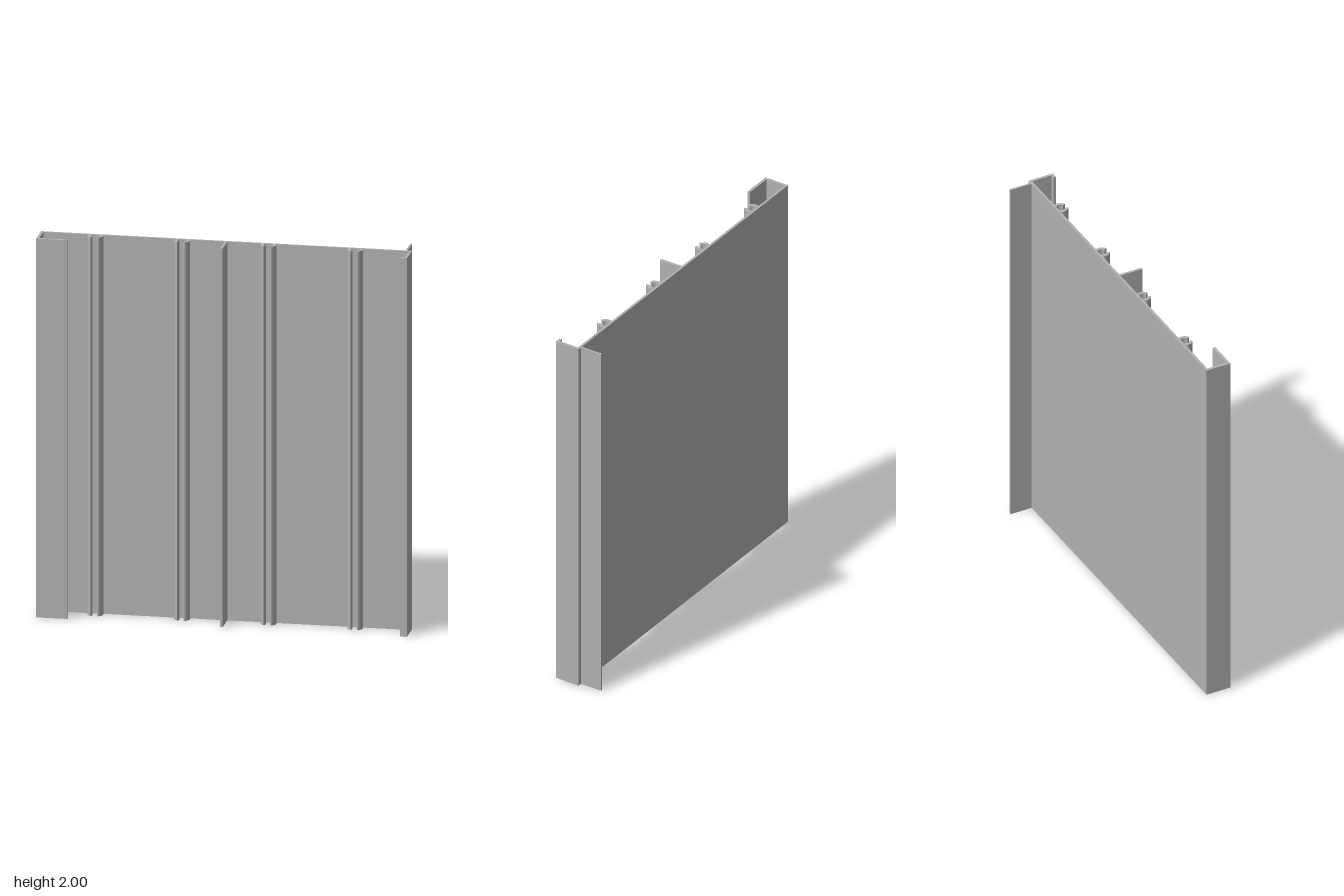
import * as THREE from 'three';

const HEIGHT = 2;

// Extrudes an outline drawn in plan (x, z) over the full height.
function extrudeUp(name, shape, material, curveSegments = 12) {
  const geometry = new THREE.ExtrudeGeometry(shape, { depth: HEIGHT, bevelEnabled: false, curveSegments });
  geometry.rotateX(Math.PI / 2).translate(0, HEIGHT, 0);
  const mesh = new THREE.Mesh(geometry, material);
  mesh.name = name;
  return mesh;
}

const outline = (points) => new THREE.Shape(points.map(([x, z]) => new THREE.Vector2(x, z)));

// One curved hook of a screw channel; side is -1 or 1.
function hookShape(x, side) {
  const z = 0.019, outer = 0.04, inner = 0.023;
  const start = side > 0 ? -0.58 : Math.PI - 1.08;
  const end = side > 0 ? 1.08 : Math.PI + 0.58;
  const shape = new THREE.Shape();
  shape.absarc(x, z, outer, start, end, false);
  shape.absarc(x, z, inner, end, start, true);
  shape.closePath();
  return shape;
}

export function createModel() {
  const group = new THREE.Group();
  group.name = 'extrudedPanel';
  const metal = new THREE.MeshStandardMaterial({ color: 0xb2b2b2 });
  metal.name = 'grey metal';

  // Panel with its folded edges, centre rib and rear fin in one profile
  const back = -0.01, face = 0.003, tip = 0.128, lip = 0.113;
  group.add(extrudeUp('panel', outline([
    [-0.957, back], [0.925, back], [0.925, -0.132], [0.935, -0.132], [0.935, back], [0.957, back],
    [0.957, tip], [0.922, tip], [0.922, lip], [0.942, lip], [0.942, face],
    [0.007, face], [0.007, tip], [-0.007, tip], [-0.007, face],
    [-0.942, face], [-0.942, lip], [-0.794, lip], [-0.794, tip], [-0.957, tip],
  ]), metal));

  // Four screw channels, each a pair of facing hooks
  for (const x of [-0.67, -0.223, 0.223, 0.67]) {
    const channel = new THREE.Group();
    channel.name = 'screwChannel';
    for (const side of [-1, 1]) {
      channel.add(extrudeUp(side > 0 ? 'leftHook' : 'rightHook', hookShape(x, side), metal));
    }
    group.add(channel);
  }
  return group;
}
